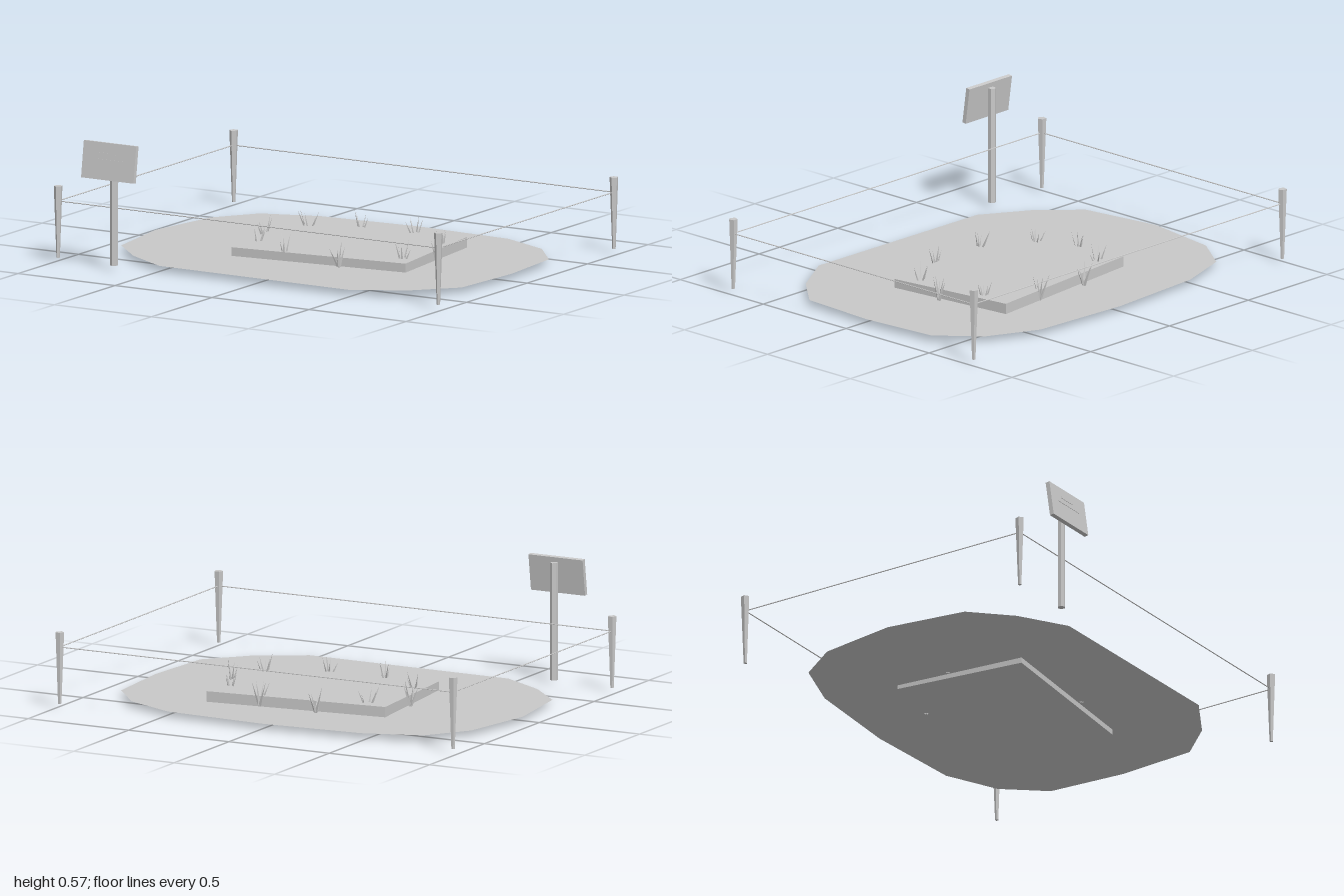
import * as THREE from 'three';

export function createModel() {
  const model = new THREE.Group();
  const stone = new THREE.MeshStandardMaterial({ color: 0xc8c8c8, flatShading: true, side: THREE.DoubleSide });
  stone.name = 'plain grey';

  const add = (name, geometry, parent = model) => {
    const mesh = new THREE.Mesh(geometry, stone);
    mesh.name = name;
    parent.add(mesh);
    return mesh;
  };

  // Flat patch of ground, outline given as x, z
  const outline = [
    [0, -0.705], [0.48, -0.68], [0.72, -0.57], [0.87, -0.39], [0.9, -0.03],
    [0.875, 0.34], [0.72, 0.51], [0.495, 0.645], [0, 0.64], [-0.5, 0.635], [-0.715, 0.505],
    [-0.88, 0.34], [-0.935, -0.03], [-0.875, -0.39], [-0.74, -0.58], [-0.48, -0.67],
  ].map(([x, z]) => new THREE.Vector2(x, -z));
  const ground = new THREE.ShapeGeometry(new THREE.Shape(outline));
  ground.rotateX(-Math.PI / 2);
  add('ground', ground).position.y = 0.028;

  // Slab sunk into the ground, slightly turned and tilted
  const slab = add('slab', new THREE.BoxGeometry(0.845, 0.064, 0.614));
  slab.position.set(0.04, 0.039, -0.07);
  slab.rotation.set(0.012, 0.106, 0);

  // Tapered corner posts
  const xs = 0.98, back = -0.75, front = 0.7;
  const postShape = new THREE.CylinderGeometry(0.02, 0.008, 0.32, 5);
  for (const x of [-xs, xs]) {
    for (const z of [back, front]) add('cornerPost', postShape).position.set(x, 0.185, z);
  }

  // Ropes strung between the posts
  const rope = (length) => new THREE.CylinderGeometry(0.0025, 0.0025, length, 5);
  for (const z of [back, front]) {
    const r = add('rope', rope(2 * xs));
    r.rotation.z = Math.PI / 2;
    r.position.set(0, 0.278, z);
  }
  for (const x of [-xs, xs]) {
    const r = add('rope', rope(front - back));
    r.rotation.x = Math.PI / 2;
    r.position.set(x, 0.278, (front + back) / 2);
  }

  // Sign: upright post and tilted board with two blank bars
  add('signPost', new THREE.CylinderGeometry(0.0175, 0.0175, 0.525, 6)).position.set(-0.682, 0.288, 0.717);
  const sign = new THREE.Group();
  sign.name = 'sign';
  sign.position.set(-0.684, 0.492, 0.748);
  sign.rotation.x = -0.14;
  model.add(sign);
  add('signBoard', new THREE.BoxGeometry(0.27, 0.164, 0.02), sign);
  add('signBar', new THREE.BoxGeometry(0.085, 0.008, 0.002), sign).position.set(-0.01, 0.033, 0.011);
  add('signBar', new THREE.BoxGeometry(0.16, 0.004, 0.002), sign).position.set(0, 0.006, 0.011);

  // Grass tufts around the slab, each a fan of leaning blades
  let seed = 7;
  const random = () => (seed = (seed * 16807) % 2147483647) / 2147483647;
  const tufts = [
    [-0.1, -0.39], [0.18, -0.39], [0.4, -0.26], [0.49, -0.075], [0.42, 0.1],
    [0.18, 0.24], [-0.1, 0.24], [-0.32, 0.11], [-0.4, -0.075], [-0.3, -0.28],
  ];
  for (const [x, z] of tufts) {
    const tuft = new THREE.Group();
    tuft.name = 'grassTuft';
    tuft.position.set(x, 0.025, z);
    model.add(tuft);
    for (let i = 0; i < 5; i++) {
      const height = 0.09 + random() * 0.04;
      const blade = new THREE.ConeGeometry(0.008, height, 3);
      blade.translate(0, height / 2, 0);
      blade.rotateX(0.15 + random() * 0.32);
      blade.rotateY((i + random() * 0.6) * Math.PI * 0.4);
      add('grassBlade', blade, tuft);
    }
  }
  return model;
}
